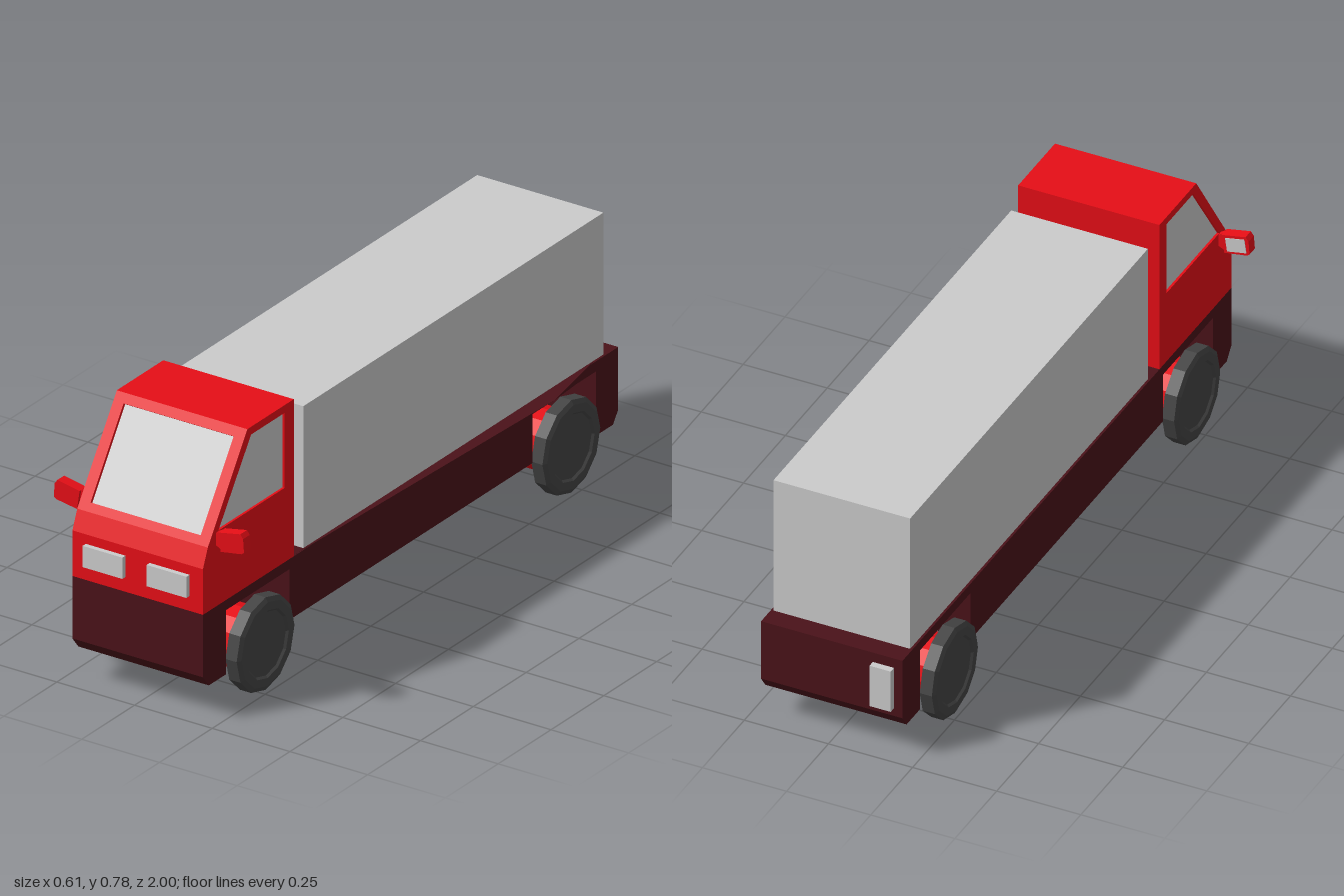
import * as THREE from 'three';
import { ConvexGeometry } from 'three/addons/geometries/ConvexGeometry.js';

const paint = (color) => new THREE.MeshStandardMaterial({ color, flatShading: true });
const red = paint(0xe60e16), dark = paint(0x4a1219), grey = paint(0xcccccc);
const rubber = paint(0x444444), brown = paint(0x4a2a1a);

const path = (pts, Type = THREE.Shape) => new Type(pts.map(([a, b]) => new THREE.Vector2(a, b)));

// Extrudes a side profile of [z, y] points across x, from x0 to x1
function across(profile, x0, x1, hole) {
  const shape = path(profile);
  if (hole) shape.holes.push(path(hole, THREE.Path));
  return new THREE.ExtrudeGeometry(shape, { depth: x1 - x0, bevelEnabled: false })
    .rotateY(-Math.PI / 2).translate(x1, 0, 0);
}

// Box given by its limits on each axis
const block = (x0, x1, y0, y1, z0, z1) => new THREE.BoxGeometry(x1 - x0, y1 - y0, z1 - z0)
  .translate((x0 + x1) / 2, (y0 + y1) / 2, (z0 + z1) / 2);

const hull = (pts) => new ConvexGeometry(pts.map((p) => new THREE.Vector3(...p)));

export function createModel() {
  const truck = new THREE.Group();
  truck.name = 'truck';
  const add = (name, geometry, material, parent = truck) => {
    const mesh = new THREE.Mesh(geometry, material);
    mesh.name = name;
    parent.add(mesh);
    return mesh;
  };

  // Chassis with wheel openings and chamfered bumpers
  add('chassis', across([
    [0.985, 0.32], [-0.98, 0.32], [-0.98, 0.135], [-0.955, 0.1], [-0.875, 0.1], [-0.875, 0.29],
    [-0.575, 0.29], [-0.575, 0.14], [0.575, 0.14], [0.575, 0.29], [0.875, 0.29], [0.875, 0.1],
    [0.957, 0.1], [0.985, 0.135],
  ], -0.21, 0.21), dark);

  // Flared sill on the left side only
  add('sideFlare', hull([
    [0.205, 0.32, 0.56], [0.205, 0.32, -0.87], [0.205, 0.29, 0.575], [0.205, 0.29, -0.87],
    [0.265, 0.332, -0.6],
  ]), dark);

  // Cargo box and the bracket between it and the cab
  add('cargoBox', block(-0.203, 0.203, 0.32, 0.74, -0.92, 0.5), grey);
  add('bracketTop', block(-0.1, 0.1, 0.475, 0.52, 0.5, 0.556), brown);
  add('bracketPost', block(-0.1, 0.1, 0.32, 0.48, 0.507, 0.53), brown);

  // Cab: core with a recess for the windscreen, and side panels with window openings
  const cab = new THREE.Group();
  cab.name = 'cab';
  truck.add(cab);
  const top = [0.775, 0.785], bottom = [0.962, 0.51], depth = 0.012;
  const length = Math.hypot(bottom[0] - top[0], top[1] - bottom[1]);
  const tilt = Math.atan2(bottom[0] - top[0], top[1] - bottom[1]);
  const inset = ([z, y]) => [z - depth * Math.cos(tilt), y - depth * Math.sin(tilt)];
  const lower = [[0.555, 0.785], [0.555, 0.32], [0.985, 0.32], [0.985, 0.455], bottom];
  add('cabCore', across([...lower, inset(bottom), inset(top), top], -0.2, 0.2), red, cab);
  const sideWindow = [[0.598, 0.54], [0.912, 0.54], [0.757, 0.762], [0.598, 0.762]];
  for (const [side, x] of [['left', 0.2], ['right', -0.21]]) {
    add(side + 'CabPanel', across([...lower, top], x, x + 0.01, sideWindow), red, cab);
    const glassX = side === 'left' ? 0.2 : -0.203;
    add(side + 'SideWindow', across(sideWindow, glassX, glassX + 0.003), grey, cab);
  }

  // Windscreen and its frame, leaning back with the cab front
  const rect = (w, v0, v1) => [[-w, v0], [w, v0], [w, v1], [-w, v1]];
  const windscreen = new THREE.Group();
  windscreen.name = 'windscreen';
  const [baseZ, baseY] = inset(bottom);
  windscreen.position.set(0, baseY, baseZ);
  windscreen.rotation.x = -tilt;
  cab.add(windscreen);
  const frame = path(rect(0.2, 0, length));
  frame.holes.push(path(rect(0.177, 0.026, 0.304), THREE.Path));
  add('windscreenFrame', new THREE.ExtrudeGeometry(frame, { depth, bevelEnabled: false }), red, windscreen);
  add('windscreenGlass', block(-0.177, 0.177, 0.026, 0.304, 0, 0.003), grey, windscreen);

  // Headlights and door mirrors, one per side
  for (const s of [1, -1]) {
    const side = s > 0 ? 'left' : 'right';
    add(side + 'Headlight', block(s * 0.103 - 0.064, s * 0.103 + 0.064, 0.364, 0.427, 0.98, 1), grey, cab);

    const mirror = new THREE.Group();
    mirror.name = side + 'Mirror';
    cab.add(mirror);
    const slab = (outline, z0, z1) => hull([z0, z1].flatMap((z) => outline.map(([x, y]) => [s * x, y, z])));
    add('mirrorArm', slab([[0.208, 0.503], [0.208, 0.537], [0.223, 0.546], [0.232, 0.491]], 0.908, 0.924), red, mirror);
    add('mirrorHousing', slab([
      [0.223, 0.546], [0.231, 0.491], [0.298, 0.502], [0.306, 0.508], [0.303, 0.548], [0.294, 0.56],
    ], 0.9, 0.932), red, mirror);
    add('mirrorGlass', slab([[0.234, 0.54], [0.24, 0.499], [0.297, 0.51], [0.291, 0.551]], 0.898, 0.902), grey, mirror);
  }

  // Single plate on the tail
  add('tailPlate', block(-0.185, -0.122, 0.16, 0.29, -1, -0.975), grey);

  // Axles and twelve-sided wheels with a shallow hub recess
  const tyre = [[0, 0], [0.137, 0], [0.137, 0.036], [0.124, 0.043], [0.1, 0.043], [0.094, 0.037], [0, 0.037]]
    .map(([r, h]) => new THREE.Vector2(r, h));
  const wheel = new THREE.LatheGeometry(tyre, 12).rotateZ(-Math.PI / 2);
  const axle = new THREE.CylinderGeometry(0.088, 0.088, 0.4, 12).rotateZ(Math.PI / 2);
  for (const [end, z] of [['front', 0.727], ['rear', -0.72]]) {
    add(end + 'Axle', axle, red).position.set(0, 0.138, z);
    for (const s of [1, -1]) {
      const mesh = add(end + (s > 0 ? 'Left' : 'Right') + 'Wheel', wheel, rubber);
      mesh.position.set(s * 0.2, 0.138, z);
      if (s < 0) mesh.rotation.y = Math.PI;
    }
  }
  return truck;
}
